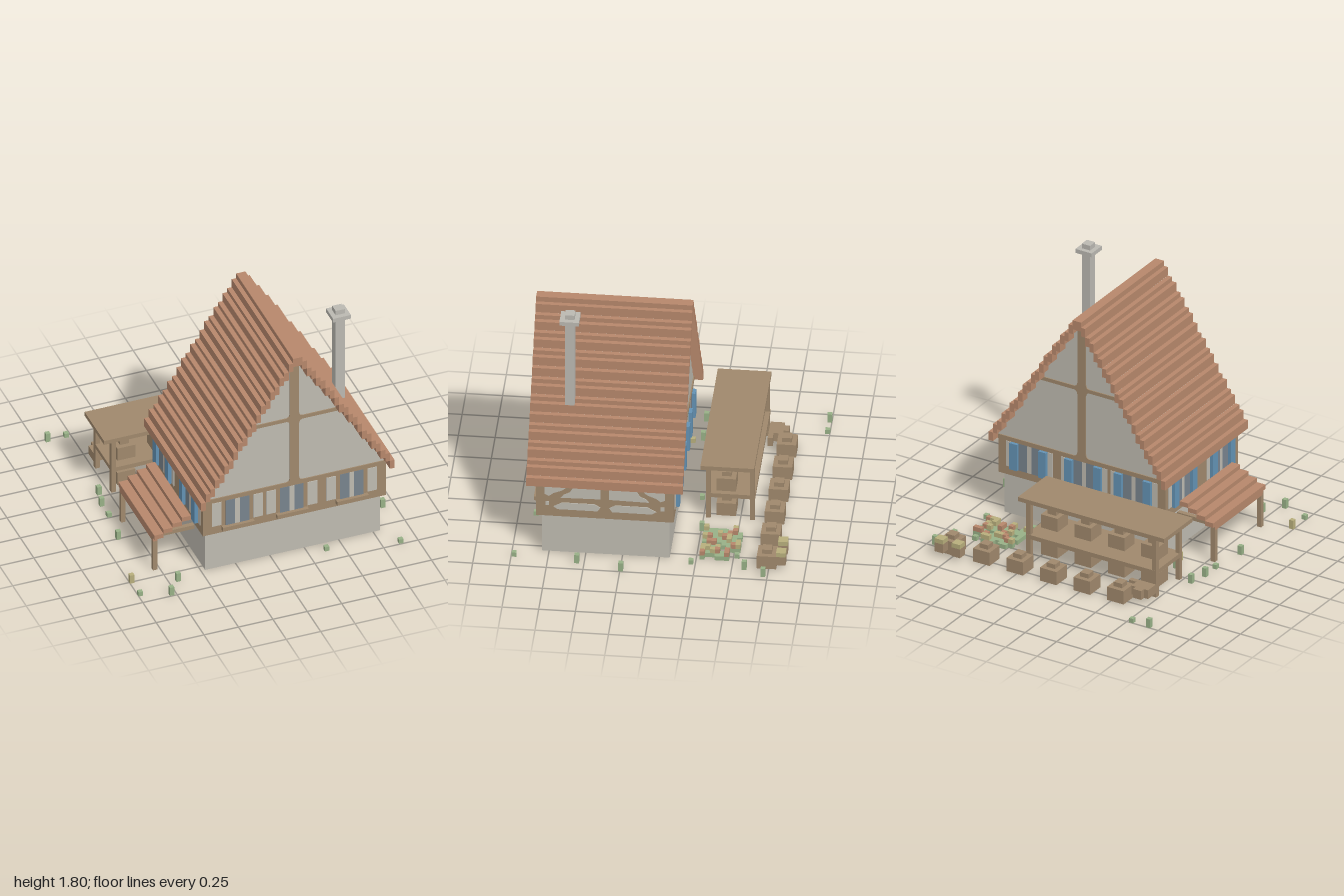
import * as THREE from 'three';

export function createModel() {
  const house = new THREE.Group();
  house.name = 'cottage';
  const mat = (name, color) => {
    const m = new THREE.MeshStandardMaterial({ color });
    m.name = name;
    return m;
  };
  const plaster = mat('plaster', 0xbebab0), timber = mat('timber', 0x9f886c);
  const tile = mat('roof tile', 0xb6876b), stone = mat('chimney stone', 0xbab8b1);
  const glass = mat('window glass', 0x78838d), blue = mat('shutter blue', 0x6392b4);
  const leaf = mat('leaf green', 0x97b086), straw = mat('straw yellow', 0xb7ae7c);

  const add = (name, geo, m) => {
    const mesh = new THREE.Mesh(geo, m);
    mesh.name = name;
    house.add(mesh);
    return mesh;
  };
  // Box given by its limits on each axis
  const box = (name, m, x0, x1, y0, y1, z0, z1) => {
    const g = new THREE.BoxGeometry(Math.abs(x1 - x0), Math.abs(y1 - y0), Math.abs(z1 - z0));
    g.translate((x0 + x1) / 2, (y0 + y1) / 2, (z0 + z1) / 2);
    return add(name, g, m);
  };
  const shapeOf = pts => new THREE.Shape(pts.map(p => new THREE.Vector2(...p)));
  const slab = (pts, depth) => new THREE.ExtrudeGeometry(shapeOf(pts), { depth, bevelEnabled: false });

  const CX = 0.165, V = 0.0335;

  // Ground floor: hollow, open at the bottom
  box('groundWallFront', plaster, -0.47, 0.8, 0, 0.31, 0.79, 0.8);
  box('groundWallBack', plaster, -0.47, 0.8, 0, 0.31, -0.07, -0.06);
  box('groundWallLeft', plaster, 0.79, 0.8, 0, 0.31, -0.06, 0.79);
  box('groundWallRight', plaster, -0.47, -0.46, 0, 0.31, -0.06, 0.79);
  box('groundCeiling', plaster, -0.46, 0.79, 0.3, 0.309, -0.06, 0.79);

  // Jettied upper floor
  box('upperFloor', timber, -0.5, 0.83, 0.31, 0.575, -0.1, 0.835);

  // Window bay centred on c along a wall; put() places a box by (along, height, outward) limits
  const bay = (put, c, shutters) => {
    for (const s of [-1, 1]) {
      put('wallPanel', plaster, c + s * 0.115, c + s * 0.185, 0.375, 0.565, 0.005);
      put('windowPane', glass, c + s * 0.017, c + s * 0.085, 0.365, 0.57, 0.006);
      if (shutters) put('shutter', blue, c + s * 0.085, c + s * 0.145, 0.37, 0.57, 0.03);
    }
    put('mullion', plaster, c - 0.017, c + 0.017, 0.365, 0.57, 0.006);
  };
  const front = (n, m, a, b, y0, y1, d) => box(n, m, a, b, y0, y1, 0.834, 0.835 + d);
  const back = (n, m, a, b, y0, y1, d) => box(n, m, a, b, y0, y1, -0.1 - d, -0.099);
  const side = (n, m, a, b, y0, y1, d) => box(n, m, -0.5 - d, -0.499, y0, y1, a, b);
  for (const c of [-0.25, 0.145, 0.58]) {
    bay(front, c, false);
    front('windowSill', timber, c - 0.115, c + 0.115, 0.335, 0.365, 0.03);
    bay(back, c, true);
  }
  for (const c of [0.12, 0.61]) bay(side, c, true);

  // Plaster fields between curved braces on the chimney side (offset from wall middle, height)
  const fields = [
    [[0.05, 0.37], [0.32, 0.37], [0.35, 0.39], [0.29, 0.425], [0.07, 0.425], [0.03, 0.40]],
    [[0.03, 0.47], [0.3, 0.465], [0.28, 0.49], [0.24, 0.51], [0.21, 0.56], [0.03, 0.56]],
    [[0.25, 0.56], [0.41, 0.56], [0.41, 0.49], [0.38, 0.475], [0.35, 0.5], [0.29, 0.525]],
    [[0.38, 0.4], [0.405, 0.4], [0.405, 0.43], [0.38, 0.43]],
  ];
  for (const f of fields) for (const s of [-1, 1]) {
    const g = slab(f.map(([u, y]) => [s * u, y]), 0.006);
    g.rotateY(Math.PI / 2).translate(0.829, 0, 0.368);
    add('bracePanel', g, plaster);
  }

  // Gables with their beams
  const gable = slab([[-0.505, 0.57], [0.835, 0.57], [0.835, 0.6], [CX, 1.64], [-0.505, 0.6]], 0.93);
  gable.translate(0, 0, -0.098);
  add('gable', gable, plaster);
  for (const [z0, z1] of [[0.83, 0.84], [-0.106, -0.096]]) {
    box('gablePost', timber, CX - 0.033, CX + 0.033, 0.58, 1.61, z0, z1);
    box('gableCollar', timber, -0.17, 0.5, 1.108, 1.135, z0, z1);
    box('gableSill', timber, -0.5, 0.83, 0.57, 0.602, z0, z1);
    // small knees where the beams meet
    for (const s of [-1, 1]) for (const [y, d] of [[0.6, 1], [1.133, 1], [1.11, -1]]) {
      const x = CX + s * 0.032;
      const knee = slab([[x, y], [x + s * 0.03, y], [x + s * 0.008, y + d * 0.01], [x, y + d * 0.035]], 0.01);
      add('gableKnee', knee.translate(0, 0, z0), timber);
    }
  }

  // Stepped tile roof
  for (let i = 0; i < 20; i++) {
    const y = 0.57 + Math.round(i * 1.58) * 0.0331;
    for (const s of [-1, 1]) {
      const x = CX + s * (0.702 - i * V);
      box('roofCourse', tile, x, x - s * V, y, y + 0.066, -0.165, 0.9);
    }
  }
  box('roofRidge', tile, CX - 0.034, CX + 0.034, 1.6, 1.668, -0.165, 0.9);

  // Chimney
  box('chimneyStack', stone, 0.532, 0.598, 1.0, 1.805, 0.598, 0.664);
  box('chimneyCollar', stone, 0.5, 0.63, 1.74, 1.77, 0.566, 0.698);

  // Lean-to porch
  for (let i = 0; i < 4; i++) {
    const x = -0.8 + i * 0.0667, y = 0.27 + i * 0.0325;
    box('porchRoofCourse', tile, x, x + 0.0667, y, y + 0.034, 0.03, 0.7);
  }
  for (const z of [0.05, 0.645]) {
    box('porchPost', timber, -0.8, -0.767, 0, 0.27, z, z + 0.033);
    box('porchRafter', timber, -0.735, -0.5, 0.27, 0.3, z, z + 0.033);
  }
  box('porchBeam', tile, -0.8, -0.767, 0.24, 0.27, 0.05, 0.678);

  // Open shelter with a shelf
  box('shelterRoof', timber, -0.8, 0.365, 0.435, 0.466, -0.6, -0.235);
  box('shelterShelf', timber, -0.735, 0.3, 0.17, 0.202, -0.6, -0.265);
  for (const x of [-0.735, 0.267]) for (const z of [-0.598, -0.298])
    box('shelterPost', timber, x, x + 0.033, 0, 0.435, z, z + 0.033);

  // Beehives
  const hive = (x, y, z) => {
    box('hiveBody', timber, x - 0.066, x + 0.066, y, y + 0.1, z - 0.066, z + 0.066);
    box('hiveCap', timber, x - 0.033, x + 0.033, y + 0.1, y + 0.133, z - 0.033, z + 0.033);
  };
  for (let i = 0; i < 4; i++) {
    hive(-0.6 + i * 0.266, 0.202, -0.4);
    hive(-0.6 + i * 0.266, 0, -0.4);
  }
  for (let i = 0; i < 6; i++) hive(-0.535 + i * 0.267, 0, -0.735);

  // Log pile and flower pots
  box('logPile', timber, -0.733, -0.6, 0.033, 0.1, -0.7, -0.6);
  box('logEnd', timber, -0.7, -0.635, 0.033, 0.1, -0.735, -0.7);
  box('logEnd', timber, -0.6, -0.54, 0.033, 0.1, -0.635, -0.6);
  for (const x of [0.663, 0.798]) {
    box('pot', timber, x, x + 0.066, 0.033, 0.1, -0.865, -0.8);
    box('potPlant', straw, x, x + 0.066, 0.1, 0.133, -0.865, -0.8);
  }

  // Flower bed: a ragged grid of small blocks
  let seed = 7;
  const rnd = () => (seed = (seed * 16807) % 2147483647) / 2147483647;
  for (let i = 0; i < 10; i++) for (let j = 0; j < 8; j++) {
    if (rnd() < 0.3) continue;
    const x = 0.467 + i * 0.0333, z = -0.54 + j * 0.0333, r = rnd();
    box('flowerStem', leaf, x, x + 0.0333, 0, 0.033, z, z + 0.0333);
    if (r < 0.3) box('blossom', r < 0.18 ? tile : straw, x, x + 0.0333, 0.033, 0.066, z, z + 0.0333);
  }

  // Grass tufts around the house
  const tufts = [
    [-0.92, -0.985], [-0.785, -0.985], [-0.82, -0.285], [-0.85, -0.155], [-0.85, -0.02], [-0.885, 0.245],
    [-0.985, 0.75], [-0.985, 0.91], [-0.785, 0.98], [-0.685, 0.845], [0.88, 0.98], [0.915, 0.55], [0.98, 0.245],
    [0.85, -0.22], [0.88, -0.585], [0.95, -0.72], [0.08, -0.22], [0.45, -0.255], [-0.62, -0.155],
    [-0.585, -0.09], [-0.585, -0.055], [0.38, 0.88],
  ];
  tufts.forEach(([x, z], i) => {
    const m = i === 6 || i === 19 || i === 20 ? straw : leaf;
    box('grassTuft', m, x - 0.016, x + 0.016, 0, i % 3 === 1 || i === 21 ? 0.033 : 0.066, z - 0.016, z + 0.016);
  });

  return house;
}
